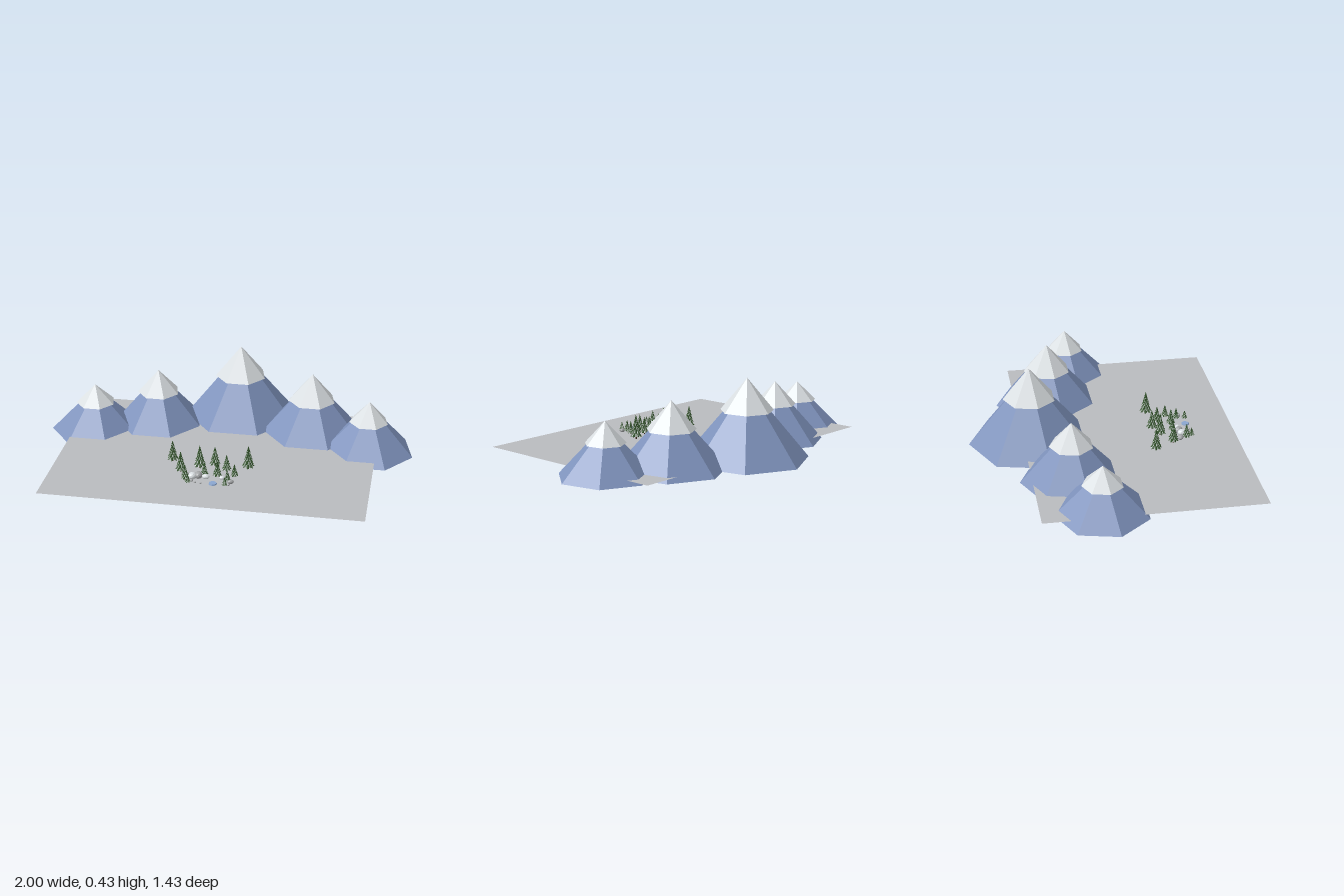
import * as THREE from 'three';

const mat = (name, color, extra = {}) => {
  const m = new THREE.MeshStandardMaterial({ color, flatShading: true, ...extra });
  m.name = name;
  return m;
};

export function createModel() {
  const model = new THREE.Group();
  const rock = mat('mountainBlue', 0x7f93bd);
  const snow = mat('snowWhite', 0xdadfe2);
  const land = mat('groundGrey', 0xb9bbbe, { side: THREE.DoubleSide });
  const needles = mat('pineGreen', 0x34552c);
  const bark = mat('barkBrown', 0x4a3524);
  const stone = mat('stoneGrey', 0xa4a6a8);
  const ice = mat('iceBlue', 0x8aa6cf);
  const groundY = 0.026;

  const add = (parent, name, geometry, material, x, y, z) => {
    const mesh = new THREE.Mesh(geometry, material);
    mesh.name = name;
    mesh.position.set(x, y, z);
    parent.add(mesh);
    return mesh;
  };

  // Seven-sided cone standing on y = 0 with one corner to the back
  const peak = (r, h) => new THREE.ConeGeometry(r, h, 7).rotateY(Math.PI).translate(0, h / 2, 0);

  // Flat ground sheet
  add(model, 'ground', new THREE.PlaneGeometry(1.665, 1.144).rotateX(-Math.PI / 2), land, -0.03, groundY, 0.142);

  // Mountains: x, z, base radius, summit height, snow line, cap radius
  [
    [-0.76, -0.115, 0.246, 0.262, 0.157, 0.107],
    [-0.425, -0.222, 0.268, 0.326, 0.198, 0.116],
    [0.012, -0.386, 0.332, 0.43, 0.257, 0.142],
    [0.43, -0.24, 0.291, 0.357, 0.205, 0.13],
    [0.753, -0.096, 0.25, 0.284, 0.169, 0.106],
  ].forEach(([x, z, r, h, line, capR]) => {
    const mountain = new THREE.Group();
    mountain.name = 'mountain';
    mountain.position.set(x, 0, z);
    add(mountain, 'slope', peak(r, h * 0.935), rock, 0, 0, 0);
    add(mountain, 'snowCap', peak(capR, h - line), snow, 0, line, 0);
    model.add(mountain);
  });

  // Star-shaped cone for a ring of branches
  const starCone = (r, h) => {
    const g = new THREE.ConeGeometry(r, h, 14);
    const p = g.attributes.position;
    for (let i = 0; i < p.count; i++) {
      const x = p.getX(i), z = p.getZ(i);
      const corner = Math.round((Math.atan2(x, z) / (Math.PI * 2)) * 14);
      if (p.getY(i) < 0 && corner % 2 !== 0) p.setXYZ(i, x * 0.66, p.getY(i) + h * 0.12, z * 0.66);
    }
    return g.translate(0, h / 2, 0);
  };
  const branches = starCone(1, 1);
  const trunk = new THREE.CylinderGeometry(0.1, 0.13, 1, 6);

  // Snowy pines: x, z, top height
  [
    [-0.249, 0.256, 0.147], [-0.185, 0.362, 0.143], [-0.147, 0.442, 0.11], [-0.094, 0.307, 0.157],
    [-0.056, 0.382, 0.1], [-0.019, 0.276, 0.14], [0.013, 0.388, 0.12], [0.05, 0.318, 0.122],
    [0.1, 0.373, 0.1], [0.158, 0.276, 0.16], [0.072, 0.43, 0.092], [-0.128, 0.474, 0.075], [0.066, 0.477, 0.075],
  ].forEach(([x, z, top], n) => {
    const tree = new THREE.Group();
    tree.name = 'pineTree';
    tree.position.set(x, groundY, z);
    tree.rotation.y = n * 1.3;
    const h = top - groundY, r = 0.006 + h * 0.215;
    add(tree, 'trunk', trunk, bark, 0, h * 0.06, 0).scale.set(r, h * 0.2, r);
    const tiers = 5;
    for (let i = 0; i < tiers; i++) {
      const y = h * (0.1 + 0.145 * i), tierR = r * (1 - 0.165 * i);
      const tierH = i === tiers - 1 ? h - y : h * 0.32;
      const green = add(tree, 'branches', branches, needles, 0, y, 0);
      green.scale.set(tierR, tierH, tierR);
      green.rotation.y = i * 0.5;
      // Snow showing between the branch tips
      const white = add(tree, 'branchSnow', branches, snow, 0, y + h * 0.012, 0);
      white.scale.set(tierR * 0.84, tierH * 0.86, tierR * 0.84);
      white.rotation.y = i * 0.5 + Math.PI / 7;
    }
    model.add(tree);
  });

  // Boulders and pebbles: x, z, half width, half height, half depth, snowy
  const boulder = new THREE.IcosahedronGeometry(1, 1);
  [
    [-0.152, 0.408, 0.024, 0.014, 0.017, 0], [-0.112, 0.424, 0.022, 0.019, 0.024, 1],
    [-0.082, 0.412, 0.021, 0.02, 0.024, 0], [-0.044, 0.414, 0.021, 0.013, 0.015, 1],
    [0.041, 0.408, 0.015, 0.01, 0.012, 1], [0.092, 0.446, 0.017, 0.012, 0.011, 0],
    [-0.09, 0.472, 0.007, 0.005, 0.006, 0], [-0.06, 0.476, 0.006, 0.004, 0.006, 0],
    [0.085, 0.47, 0.008, 0.006, 0.007, 0], [-0.11, 0.456, 0.008, 0.006, 0.007, 0],
  ].forEach(([x, z, a, b, c, white], i) => {
    const m = add(model, 'boulder', boulder, white ? snow : stone, x, groundY + b * 0.7, z);
    m.scale.set(a, b, c);
    m.rotation.y = (i % 3) * 0.2 - 0.2;
  });

  // Small frozen pool
  add(model, 'icePool', new THREE.CylinderGeometry(0.02, 0.022, 0.006, 10), ice, 0.003, groundY + 0.003, 0.468);

  return model;
}
